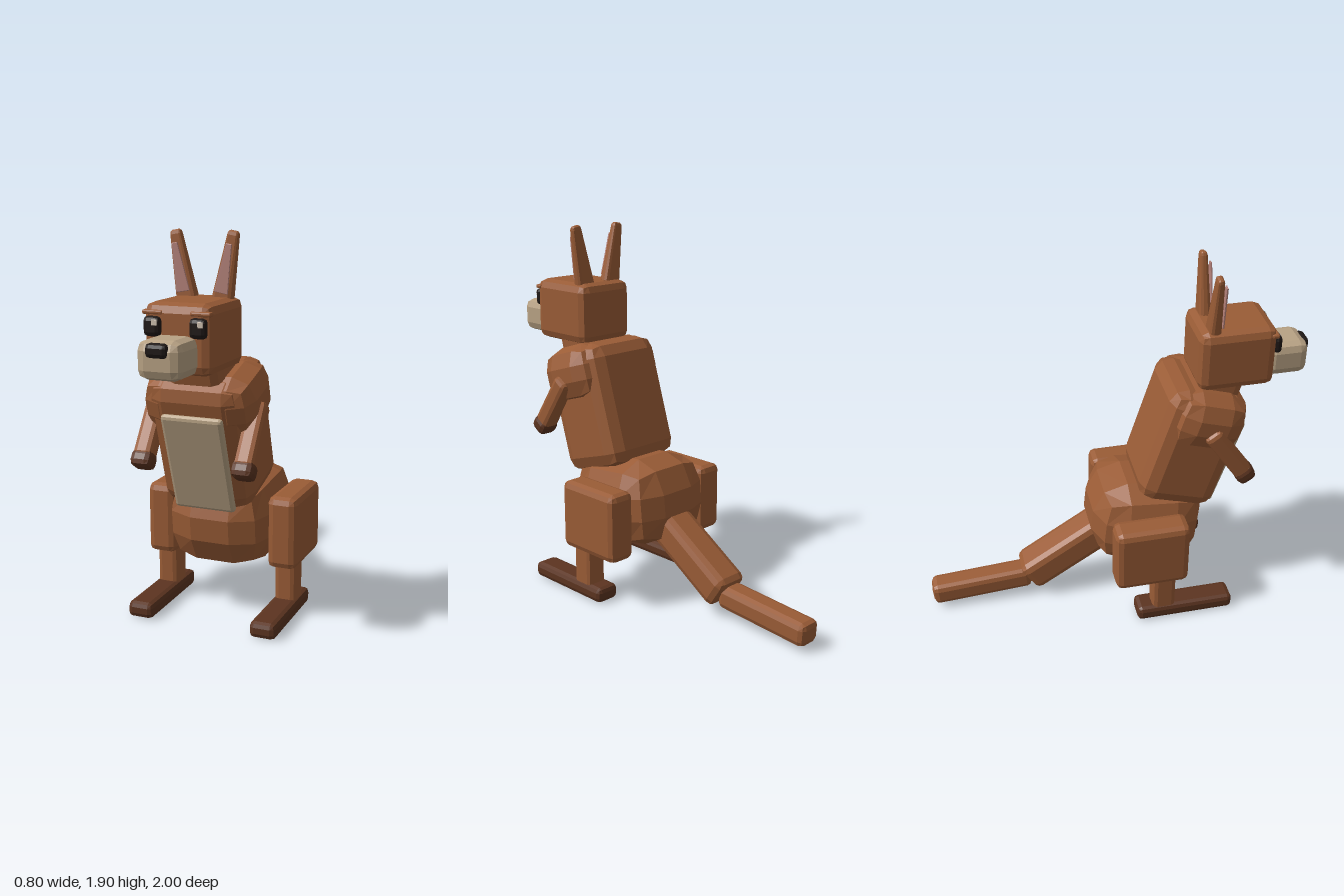
import * as THREE from 'three';
import { RoundedBoxGeometry } from 'three/addons/geometries/RoundedBoxGeometry.js';

const mat = (name, color) => {
  const m = new THREE.MeshStandardMaterial({ color, flatShading: true });
  m.name = name;
  return m;
};

export function createModel() {
  const root = new THREE.Group();
  root.name = 'kangaroo';
  const fur = mat('fur brown', 0x9a5c36);
  const dark = mat('dark brown', 0x5c3420);
  const cream = mat('cream', 0xb8a284);
  const black = mat('black', 0x1e1715);
  const pink = mat('ear pink', 0xb5827a);
  const glint = mat('eye glint', 0xcfc0b0);

  // Bevelled box: size, bevel radius, position, rotation
  const block = (name, material, [w, h, d], r, pos, rot = [0, 0, 0], parent = root) => {
    const mesh = new THREE.Mesh(new RoundedBoxGeometry(w, h, d, 1, r), material);
    mesh.name = name;
    mesh.position.set(...pos);
    mesh.rotation.set(...rot);
    parent.add(mesh);
    return mesh;
  };

  // Narrow a block towards its top
  const taper = (mesh, h, topX, topZ) => {
    const p = mesh.geometry.attributes.position;
    for (let i = 0; i < p.count; i++) {
      const t = p.getY(i) / h + 0.5;
      p.setX(i, p.getX(i) * (1 + (topX - 1) * t));
      p.setZ(i, p.getZ(i) * (1 + (topZ - 1) * t));
    }
    mesh.geometry.computeVertexNormals();
  };

  // Body, leaning forward
  block('hips', fur, [0.54, 0.46, 0.59], 0.17, [0, 0.485, 0.166], [0.1, 0, 0]);
  block('torso', fur, [0.46, 0.66, 0.42], 0.08, [0, 0.95, 0.385], [0.3, 0, 0]);
  block('chest', fur, [0.56, 0.3, 0.38], 0.11, [0, 1.13, 0.455], [0.3, 0, 0]);
  block('belly', cream, [0.31, 0.51, 0.04], 0.018, [0, 0.825, 0.57], [0.32, 0, 0]);
  block('neck', fur, [0.28, 0.28, 0.23], 0.05, [0, 1.28, 0.53], [0.3, 0, 0]);

  // Head
  block('head', fur, [0.33, 0.32, 0.39], 0.045, [0, 1.44, 0.597]);
  block('muzzle', cream, [0.215, 0.175, 0.22], 0.045, [0, 1.376, 0.875]);
  block('nose', black, [0.105, 0.065, 0.05], 0.02, [0, 1.422, 0.975]);

  // Tail
  block('tailBase', fur, [0.19, 0.18, 0.64], 0.04, [0, 0.295, -0.21], [-0.57, 0, 0]);
  block('tailTip', fur, [0.128, 0.12, 0.54], 0.03, [0, 0.1, -0.73], [-0.065, 0, 0]);

  for (const s of [1, -1]) {
    const side = s > 0 ? 'left' : 'right';

    // Eye, brow and glint
    block(side + 'Eye', black, [0.082, 0.09, 0.045], 0.02, [s * 0.11, 1.497, 0.798]);
    block(side + 'Brow', fur, [0.1, 0.022, 0.04], 0.008, [s * 0.115, 1.557, 0.775]);
    block(side + 'EyeGlint', glint, [0.026, 0.026, 0.008], 0.002, [s * 0.11 + 0.018, 1.516, 0.82]);

    // Ear with pink lining
    const ear = new THREE.Group();
    ear.name = side + 'Ear';
    ear.position.set(s * 0.115, 1.735, 0.48);
    ear.rotation.z = -s * 0.18;
    root.add(ear);
    taper(block('earShell', fur, [0.106, 0.33, 0.062], 0.02, [0, 0, 0], [0, 0, 0], ear), 0.33, 0.5, 0.55);
    taper(block('earLining', pink, [0.068, 0.225, 0.009], 0.003, [0, -0.005, 0.037], [0, 0, 0], ear), 0.225, 0.4, 1);

    // Arm
    block(side + 'Arm', fur, [0.095, 0.33, 0.095], 0.025, [s * 0.255, 0.975, 0.54], [-0.6, 0, 0]);
    block(side + 'Paw', dark, [0.108, 0.085, 0.1], 0.028, [s * 0.255, 0.835, 0.635], [-0.6, 0, 0]);

    // Leg
    block(side + 'Thigh', fur, [0.15, 0.365, 0.39], 0.035, [s * 0.323, 0.438, 0.14]);
    block(side + 'Shin', fur, [0.11, 0.26, 0.125], 0.025, [s * 0.322, 0.18, 0.21]);
    block(side + 'Foot', dark, [0.132, 0.08, 0.525], 0.025, [s * 0.322, 0.04, 0.327]);
  }
  return root;
}
